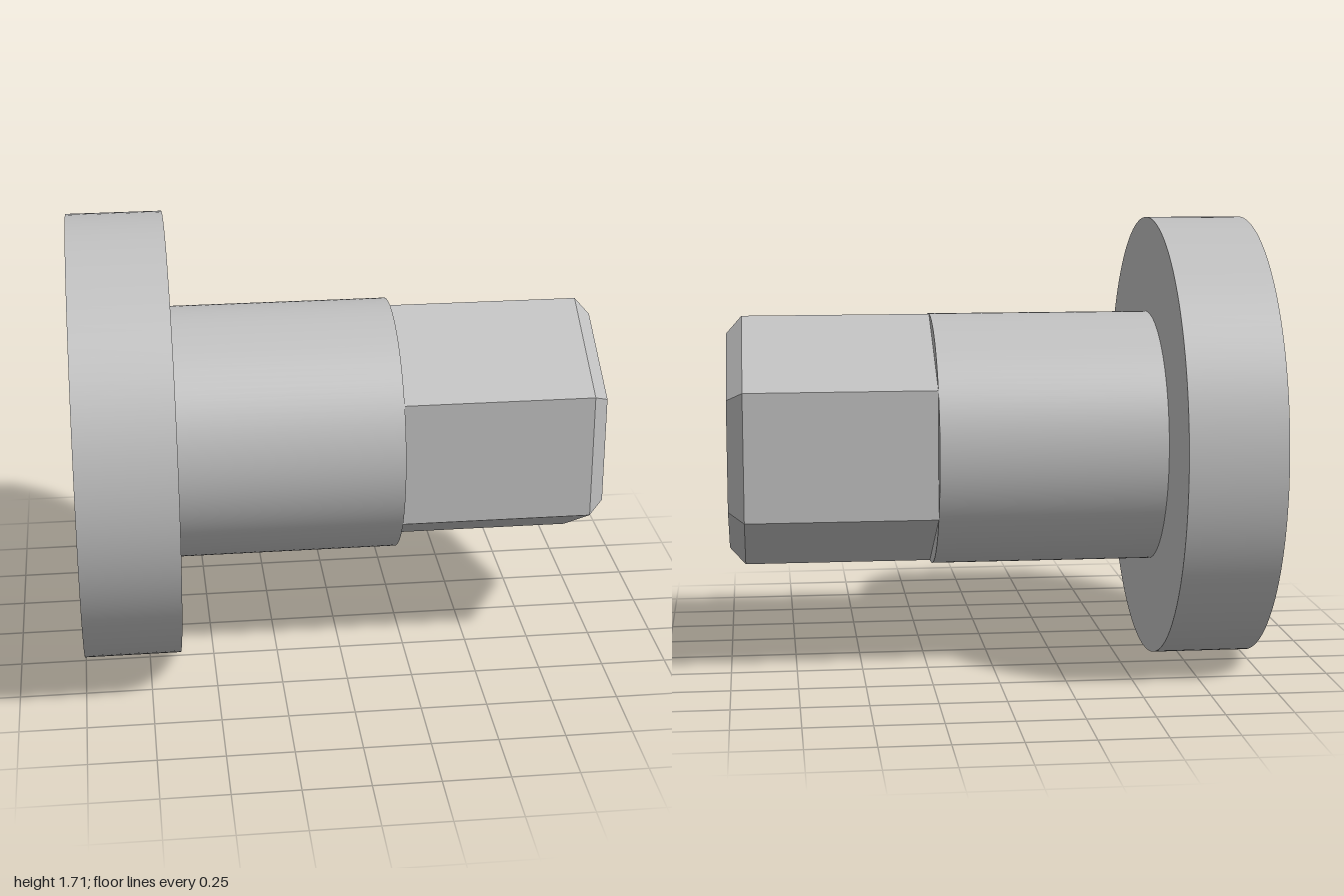
import * as THREE from 'three';

const AXIS_Y = 0.853;

export function createModel() {
  const group = new THREE.Group();
  group.name = 'hexEndedPin';

  const steel = new THREE.MeshStandardMaterial({ color: 0xbfbfbf });
  steel.name = 'grey steel';

  // A round or prismatic section lying along x, from x0 to x1
  function section(name, x0, x1, r0, r1, sides) {
    const hex = sides === 6;
    let geo = new THREE.CylinderGeometry(r1, r0, x1 - x0, sides, 1, false, hex ? Math.PI / 6 : 0);
    geo.rotateZ(-Math.PI / 2);
    if (hex) {
      // Flat facets
      geo = geo.toNonIndexed();
      geo.computeVertexNormals();
    }
    const mesh = new THREE.Mesh(geo, steel);
    mesh.name = name;
    mesh.position.set((x0 + x1) / 2, AXIS_Y, 0);
    group.add(mesh);
  }

  section('flange', -1, -0.635, AXIS_Y, AXIS_Y, 128);
  section('shaft', -0.635, 0.22, 0.486, 0.486, 128);
  section('hexDrive', 0.22, 0.94, 0.486, 0.486, 6);
  section('hexChamfer', 0.94, 1, 0.486, 0.418, 6);

  return group;
}
